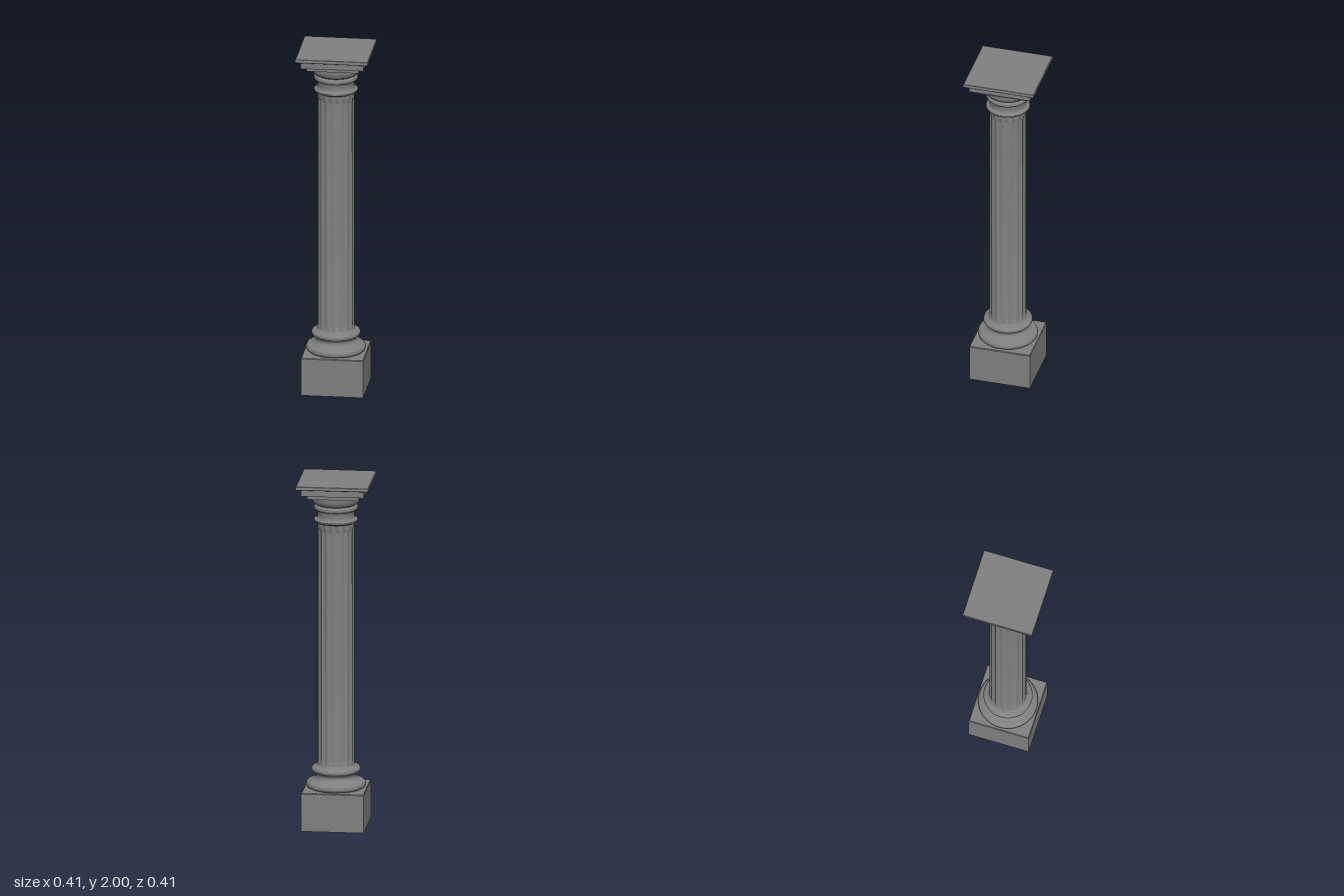
import * as THREE from 'three';
import { toCreasedNormals } from 'three/addons/utils/BufferGeometryUtils.js';

const material = new THREE.MeshStandardMaterial({ color: 0x808080, side: THREE.DoubleSide });
const FLUTES = 16;
const SHAFT_R = 0.104;

function part(name, geometry) {
  const mesh = new THREE.Mesh(geometry, material);
  mesh.name = name;
  return mesh;
}

const points = (list) => list.map(([r, y]) => new THREE.Vector2(r, y));

// Half-round bulge, bottom to top, as profile points
function bulge(r, y, depth, half, n = 10) {
  return Array.from({ length: n + 1 }, (_, i) => {
    const a = -Math.PI / 2 + (Math.PI * i) / n;
    return [r - depth + depth * Math.cos(a), y + half * Math.sin(a)];
  });
}

// Turned moulding with smooth curves and crisp edges
function turned(name, profile) {
  return part(name, toCreasedNormals(new THREE.LatheGeometry(points(profile), 64), 1));
}

// Square moulding: the profile gives the half width at each height
function square(name, profile) {
  const pts = points(profile.map(([w, y]) => [w * Math.SQRT2, y]));
  return part(name, toCreasedNormals(new THREE.LatheGeometry(pts, 4, Math.PI / 4), 0.3));
}

// Shaft with shallow, round-ended flutes pressed into its surface
function flutedShaft() {
  const bottom = 0.372, top = 1.725, half = 0.0155, depth = 0.006;
  const ys = [0.34];
  for (let i = 0; i <= 6; i++) ys.push(bottom + (half * i) / 6);
  for (let i = 6; i >= 0; i--) ys.push(top - (half * i) / 6);
  ys.push(1.77);
  const geometry = new THREE.LatheGeometry(points(ys.map((y) => [SHAFT_R, y])), FLUTES * 12);
  const pos = geometry.attributes.position;
  const step = (Math.PI * 2) / FLUTES;
  for (let i = 0; i < pos.count; i++) {
    const y = pos.getY(i);
    const angle = Math.atan2(pos.getX(i), pos.getZ(i)) + Math.PI * 2;
    const across = ((angle % step) / step - 0.5) * step * SHAFT_R / half;
    const along = Math.max(bottom + half - y, y - top + half, 0) / half;
    const press = Math.max(0, 1 - across * across - along * along);
    const k = (SHAFT_R - depth * press) / SHAFT_R;
    pos.setX(i, pos.getX(i) * k);
    pos.setZ(i, pos.getZ(i) * k);
  }
  return part('flutedShaft', toCreasedNormals(geometry, 0.8));
}

export function createModel() {
  const column = new THREE.Group();
  column.name = 'column';

  // Plinth, open underneath
  column.add(square('plinth', [[0.176, 0], [0.176, 0.216], [0.173, 0.22], [0, 0.22]]));

  // Base: large torus, hollow curve, small torus
  column.add(turned('base', [
    ...bulge(0.168, 0.241, 0.024, 0.022),
    [0.132, 0.264], [0.124, 0.27], [0.117, 0.277], [0.113, 0.285], [0.112, 0.293],
    [0.115, 0.302], [0.12, 0.308],
    ...bulge(0.138, 0.327, 0.02, 0.018),
    [0.112, 0.346], [0.107, 0.352], [SHAFT_R, 0.362],
  ]));

  column.add(flutedShaft());

  // Necking ring, neck, collar and flared echinus
  column.add(turned('capitalMouldings', [
    [SHAFT_R, 1.753], [0.108, 1.757],
    ...bulge(0.124, 1.767, 0.012, 0.008),
    [0.107, 1.779], [SHAFT_R, 1.786], [SHAFT_R, 1.818], [0.107, 1.824],
    ...bulge(0.124, 1.842, 0.014, 0.016),
    [0.114, 1.861], [0.124, 1.866], [0.132, 1.875], [0.137, 1.888],
    [0.139, 1.901], [0.139, 1.915],
  ]));

  // Stepped square abacus with a rounded top edge
  column.add(square('abacus', [
    [0, 1.914], [0.147, 1.914], [0.147, 1.939], [0.177, 1.939], [0.177, 1.978], [0.183, 1.981],
    ...bulge(0.205, 1.99, 0.003, 0.01, 6),
    [0, 2],
  ]));

  return column;
}
